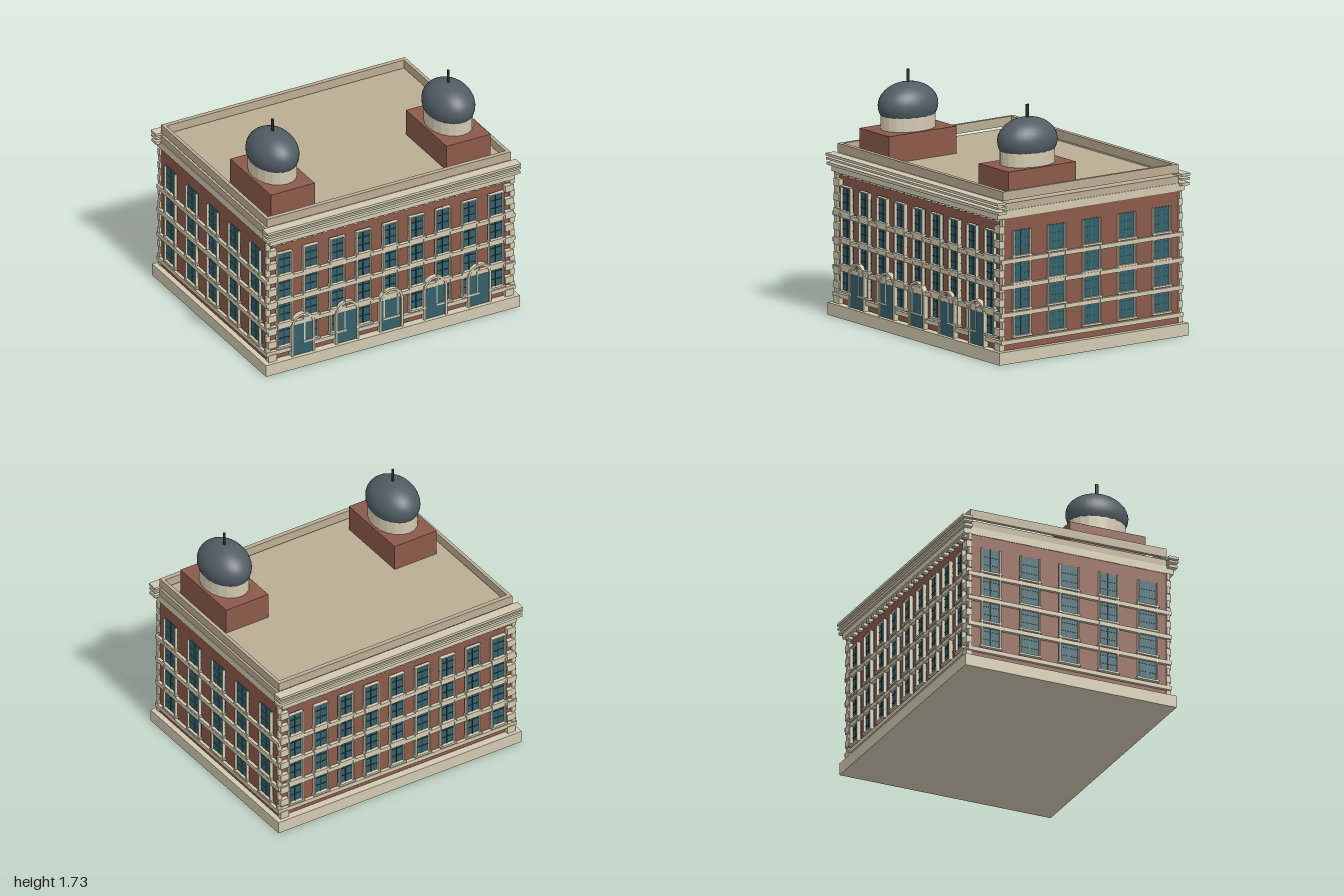
import * as THREE from 'three';

const mat = (color, extra = {}) => new THREE.MeshStandardMaterial({ color, ...extra });

export function createModel() {
  const root = new THREE.Group();
  root.name = 'building';
  const brick = mat(0x8b5a4a), stone = mat(0xd2c9b0), roofing = mat(0xbbad95);
  const glass = mat(0x35606c), bars = mat(0x1f3b40), metal = mat(0x515c64), dark = mat(0x252e31);
  const drumStone = mat(0xd2c9b0, { flatShading: true });

  const add = (parent, name, geometry, material, x = 0, y = 0, z = 0) => {
    const mesh = new THREE.Mesh(geometry, material);
    mesh.name = name;
    mesh.position.set(x, y, z);
    parent.add(mesh);
    return mesh;
  };
  // Box given by its lower and upper limits on each axis
  const box = (parent, name, material, [x0, x1], [y0, y1], [z0, z1]) =>
    add(parent, name, new THREE.BoxGeometry(x1 - x0, y1 - y0, z1 - z0), material,
      (x0 + x1) / 2, (y0 + y1) / 2, (z0 + z1) / 2);

  // Main block, plinth and roof
  const W = 0.96, D = 0.75;
  box(root, 'walls', brick, [-W, W], [0.002, 1.03], [-D, D]);
  box(root, 'plinth', stone, [-1, 1], [0, 0.088], [-0.807, 0.807]);
  box(root, 'frieze', stone, [-0.965, 0.965], [1.02, 1.075], [-0.8, 0.8]);
  box(root, 'roof', roofing, [-W, W], [1.075, 1.125], [-D, D]);

  // Belt courses around every floor
  for (const y of [0.133, 0.325, 0.52, 0.702]) {
    box(root, 'beltCourse', stone, [-0.982, 0.982], [y, y + 0.03], [-0.776, 0.776]);
  }

  // Parapet, raised slightly above the roof
  for (const s of [-1, 1]) {
    const py = [1.146, 1.21];
    box(root, 'parapetLong', roofing, [-W, W], py, s > 0 ? [D - 0.033, D] : [-D, 0.033 - D]);
    box(root, 'parapetShort', roofing, s > 0 ? [W - 0.025, W] : [-W, 0.025 - W], py, [0.033 - D, D - 0.033]);
  }

  // Cornice ledges and dentils along front and back
  for (const s of [-1, 1]) {
    const span = (a, b) => (s > 0 ? [a, b] : [-b, -a]);
    for (const [y0, y1, out] of [[1.06, 1.08, 0.815], [1.098, 1.113, 0.82], [1.126, 1.144, 0.825]]) {
      box(root, 'corniceLedge', stone, [-1, 1], [y0, y1], span(D, out));
    }
    for (let i = 0; i < 24; i++) {
      const x = -0.92 + i * 0.08;
      box(root, 'dentil', stone, [x - 0.018, x + 0.018], [1.0, 1.021], span(D - 0.01, 0.785));
    }
  }

  // Alternating corner quoins
  for (const sx of [-1, 1]) for (const sz of [-1, 1]) {
    for (let i = 0; i < 18; i++) {
      const y = 0.09 + i * 0.0517;
      const [x0, x1, z1] = i % 2 ? [0.945, 0.978, 0.768] : [0.9, 0.966, 0.782];
      const h = 0.0515;
      add(root, 'quoin', new THREE.BoxGeometry(x1 - x0, h, z1 - 0.745), stone,
        sx * (x0 + x1) / 2, y + h / 2, sz * (z1 + 0.745) / 2);
    }
  }

  // One window, built facing +z with its foot at y = 0
  const H = 0.18;
  const makeWindow = (w, lintel, barMaterial) => {
    const g = new THREE.Group();
    g.name = 'window';
    const r = w / 2, t = 0.009;
    box(g, 'glass', glass, [-r, r], [0, H], [-0.01, 0.008]);
    box(g, 'mullion', barMaterial, [-0.003, 0.003], [0, H], [0, 0.013]);
    for (const y of [0.06, 0.12]) box(g, 'glazingBar', barMaterial, [-r, r], [y - 0.002, y + 0.002], [0, 0.012]);
    box(g, 'leftJamb', stone, [r - t, r], [0, H], [0, 0.03]);
    box(g, 'rightJamb', stone, [-r, t - r], [0, H], [0, 0.03]);
    box(g, 'sill', stone, [-r - 0.008, r + 0.008], [-0.008, 0.006], [0, 0.034]);
    if (lintel) box(g, 'lintel', stone, [-r, r], [H - 0.008, H], [0, 0.03]);
    return g;
  };

  // A grid of windows on each wall
  const floors = [0.182, 0.37, 0.56, 0.747];
  const greenBars = mat(0x34706c);
  const walls = [
    { name: 'frontWindows', turn: 0, out: D, n: 9, step: 0.2086, w: 0.118 },
    { name: 'backWindows', turn: Math.PI, out: D, n: 9, step: 0.2086, w: 0.118 },
    { name: 'leftWindows', turn: Math.PI / 2, out: W, n: 5, step: 0.2995, w: 0.15 },
    { name: 'rightWindows', turn: -Math.PI / 2, out: W, n: 5, step: 0.2995, w: 0.15 },
  ];
  for (const { name, turn, out, n, step, w } of walls) {
    const wall = new THREE.Group();
    wall.name = name;
    wall.rotation.y = turn;
    for (const y of floors) for (let i = 0; i < n; i++) {
      const win = makeWindow(w, n === 9, n === 9 ? bars : greenBars);
      win.scale.z = n === 9 ? 1 : 0.75;
      win.position.set((i - (n - 1) / 2) * step, y, out);
      wall.add(win);
    }
    root.add(wall);
  }

  // Arched entrances on the front
  const archShape = (r) => {
    const s = new THREE.Shape();
    s.moveTo(-r, 0.088);
    s.lineTo(r, 0.088);
    s.lineTo(r, 0.318);
    s.absarc(0, 0.318, r, 0, Math.PI, false);
    s.closePath();
    return s;
  };
  const surround = archShape(0.092);
  surround.holes.push(archShape(0.076));
  const surroundGeometry = new THREE.ExtrudeGeometry(surround, { depth: 0.037, bevelEnabled: false, curveSegments: 16 });
  for (let i = -2; i <= 2; i++) {
    const x = i * 0.3476;
    add(root, 'archSurround', surroundGeometry, stone, x, 0, D);
    box(root, 'doorGlass', glass, [x - 0.077, x + 0.077], [0.088, 0.325], [D, 0.7775]);
  }

  // Corner towers with oval drums and domes
  for (const s of [-1, 1]) {
    const tower = new THREE.Group();
    tower.name = s > 0 ? 'leftTower' : 'rightTower';
    tower.position.set(s * 0.693, 0, 0.345);
    box(tower, 'towerBase', brick, [-0.173, 0.173], [1.12, 1.318], [-0.288, 0.288]);
    const oval = new THREE.Group();
    oval.name = 'cupola';
    oval.scale.z = 1.32;
    add(oval, 'drum', new THREE.CylinderGeometry(0.157, 0.157, 0.105, 20), drumStone, 0, 1.369, 0);
    add(oval, 'dome', new THREE.SphereGeometry(0.172, 32, 20), metal, 0, 1.48, 0).scale.y = 0.93;
    add(oval, 'spike', new THREE.CylinderGeometry(0.009, 0.009, 0.11, 10), dark, 0, 1.675, 0);
    tower.add(oval);
    root.add(tower);
  }
  return root;
}
